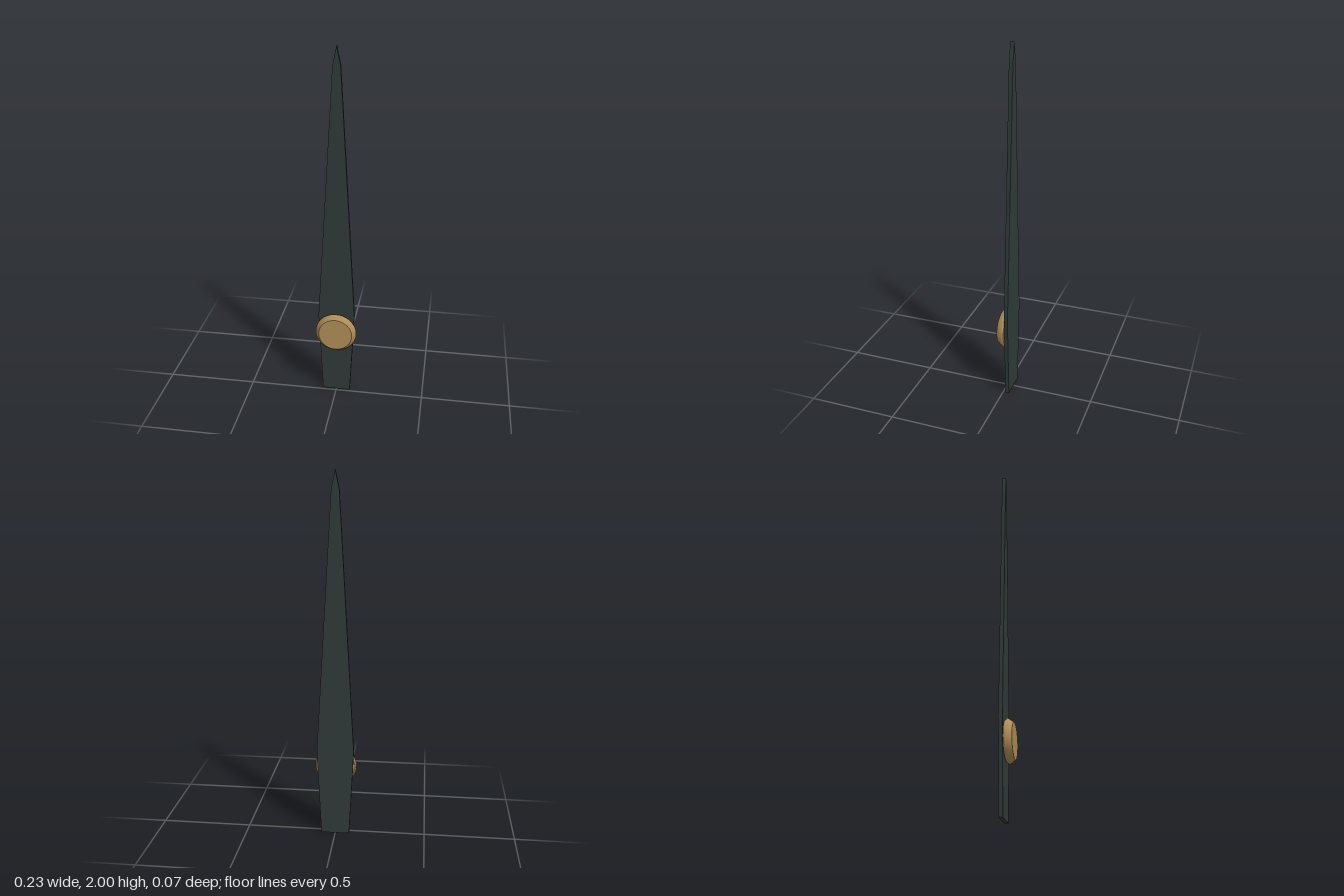
import * as THREE from 'three';

export function createModel() {
  const group = new THREE.Group();
  const darkMetal = new THREE.MeshStandardMaterial({ color: 0x2f3939 });
  darkMetal.name = 'darkMetal';
  const brass = new THREE.MeshStandardMaterial({ color: 0xb08d57 });
  brass.name = 'brass';

  const add = (name, geometry, material, parent = group) => {
    const mesh = new THREE.Mesh(geometry, material);
    mesh.name = name;
    parent.add(mesh);
    return mesh;
  };

  // Flat tapered hand with a pointed tip
  const half = [[0.078, 0], [0.102, 0.49], [0.021, 1.9]];
  const outline = [...half, [0, 2], ...half.map(([x, y]) => [-x, y]).reverse()];
  const shape = new THREE.Shape(outline.map(([x, y]) => new THREE.Vector2(x, y)));
  const blade = new THREE.ExtrudeGeometry(shape, { depth: 0.021, bevelEnabled: false });
  add('blade', blade, darkMetal).position.z = -0.035;

  // Round hub cap standing just in front of the blade
  const hub = new THREE.Group();
  hub.name = 'hub';
  hub.position.y = 0.394;
  group.add(hub);

  const back = -0.011, front = 0.032, backRadius = 0.107, frontRadius = 0.094;
  const profile = [[backRadius, back], [0.116, 0.003], [frontRadius, front]];
  const rim = new THREE.LatheGeometry(profile.map(([r, z]) => new THREE.Vector2(r, z)), 48);
  add('hubRim', rim.rotateX(Math.PI / 2), brass, hub);
  add('hubFace', new THREE.CircleGeometry(frontRadius, 48), brass, hub).position.z = front;
  const rear = new THREE.CircleGeometry(backRadius, 48).rotateY(Math.PI);
  add('hubBack', rear, brass, hub).position.z = back;

  return group;
}
